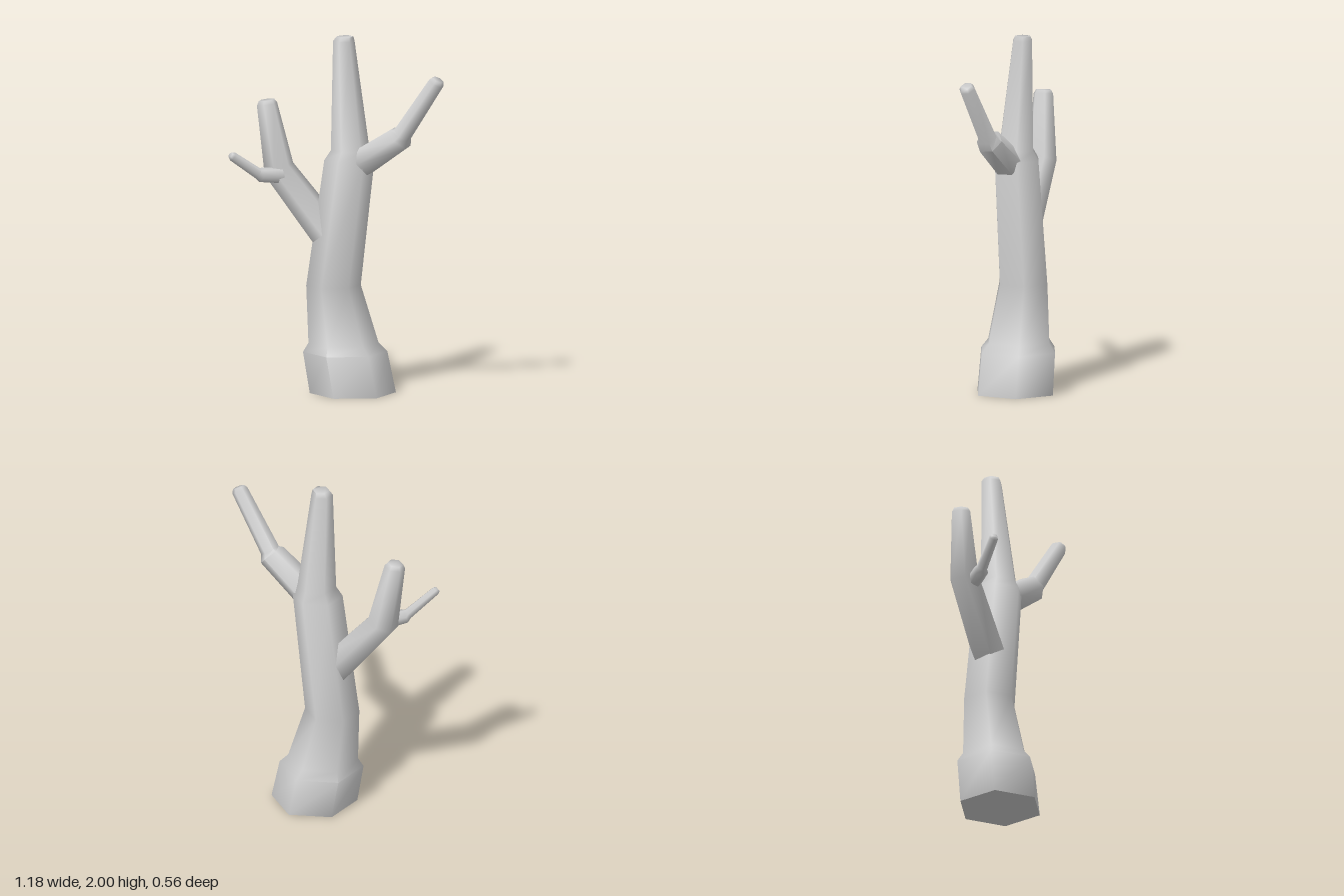
import * as THREE from 'three';
import { toCreasedNormals } from 'three/addons/utils/BufferGeometryUtils.js';

const SIDES = 6;
const material = new THREE.MeshStandardMaterial({ color: 0xcccccc });

// Six-sided limb through rings [x, y, z, radius]; rings lie across the path, or across a fixed axis
function limb(name, rings, { axis = null, twist = 0 } = {}) {
  const centres = rings.map(([x, y, z]) => new THREE.Vector3(x, y, z));
  const last = rings.length - 1;
  const direction = (i) => centres[i + 1].clone().sub(centres[i]).normalize();
  const positions = [];
  const indices = [];

  centres.forEach((c, i) => {
    const t = axis ? axis.clone() : new THREE.Vector3();
    if (!axis) {
      if (i > 0) t.add(direction(i - 1));
      if (i < last) t.add(direction(i));
      t.normalize();
    }
    const u = new THREE.Vector3(0, 0, 1).projectOnPlane(t).normalize();
    const v = t.clone().cross(u);
    for (let j = 0; j < SIDES; j++) {
      const a = twist + (j / SIDES) * Math.PI * 2;
      const p = c.clone()
        .addScaledVector(u, Math.cos(a) * rings[i][3])
        .addScaledVector(v, Math.sin(a) * rings[i][3]);
      positions.push(p.x, p.y, p.z);
    }
  });

  // Side walls
  for (let i = 0; i < last; i++) {
    for (let j = 0; j < SIDES; j++) {
      const k = (j + 1) % SIDES;
      const a = i * SIDES + j, b = i * SIDES + k;
      indices.push(a, b, b + SIDES, a, b + SIDES, a + SIDES);
    }
  }
  // End caps
  for (let j = 1; j < SIDES - 1; j++) {
    const e = last * SIDES;
    indices.push(0, j + 1, j, e, e + j, e + j + 1);
  }

  const geometry = new THREE.BufferGeometry();
  geometry.setAttribute('position', new THREE.Float32BufferAttribute(positions, 3));
  geometry.setIndex(indices);
  const mesh = new THREE.Mesh(toCreasedNormals(geometry, THREE.MathUtils.degToRad(70)), material);
  mesh.name = name;
  return mesh;
}

export function createModel() {
  const tree = new THREE.Group();
  tree.name = 'bareTree';

  // Trunk with a flared foot, a bend and a stepped top
  tree.add(limb('trunk', [
    [0.035, 0, -0.045, 0.24],
    [-0.01, 0.23, -0.045, 0.235],
    [-0.02, 0.28, -0.045, 0.195],
    [-0.08, 0.6, -0.05, 0.152],
    [0.015, 1.31, -0.045, 0.14],
    [0.02, 1.365, -0.045, 0.108],
    [-0.025, 1.975, -0.066, 0.06],
    [-0.019, 2, -0.068, 0.047],
  ], { axis: new THREE.Vector3(0, 1, 0), twist: THREE.MathUtils.degToRad(-8) }));

  // Lower branch that turns upward
  tree.add(limb('lowerBranch', [
    [-0.1, 0.88, -0.04, 0.1],
    [-0.395, 1.24, -0.035, 0.088],
    [-0.46, 1.605, -0.02, 0.058],
    [-0.463, 1.627, -0.019, 0.044],
  ]));

  // Small twig on the lower branch
  tree.add(limb('twig', [
    [-0.36, 1.21, 0.0, 0.045],
    [-0.455, 1.225, 0.105, 0.042],
    [-0.468, 1.235, 0.118, 0.031],
    [-0.572, 1.345, 0.25, 0.026],
    [-0.58, 1.353, 0.26, 0.018],
  ]));

  // Upper branch with a collar at its joint
  tree.add(limb('upperBranch', [
    [0.1, 1.305, -0.025, 0.088],
    [0.325, 1.455, -0.003, 0.078],
    [0.342, 1.478, 0.002, 0.055],
    [0.554, 1.785, 0.04, 0.046],
    [0.564, 1.803, 0.042, 0.033],
  ]));

  return tree;
}
